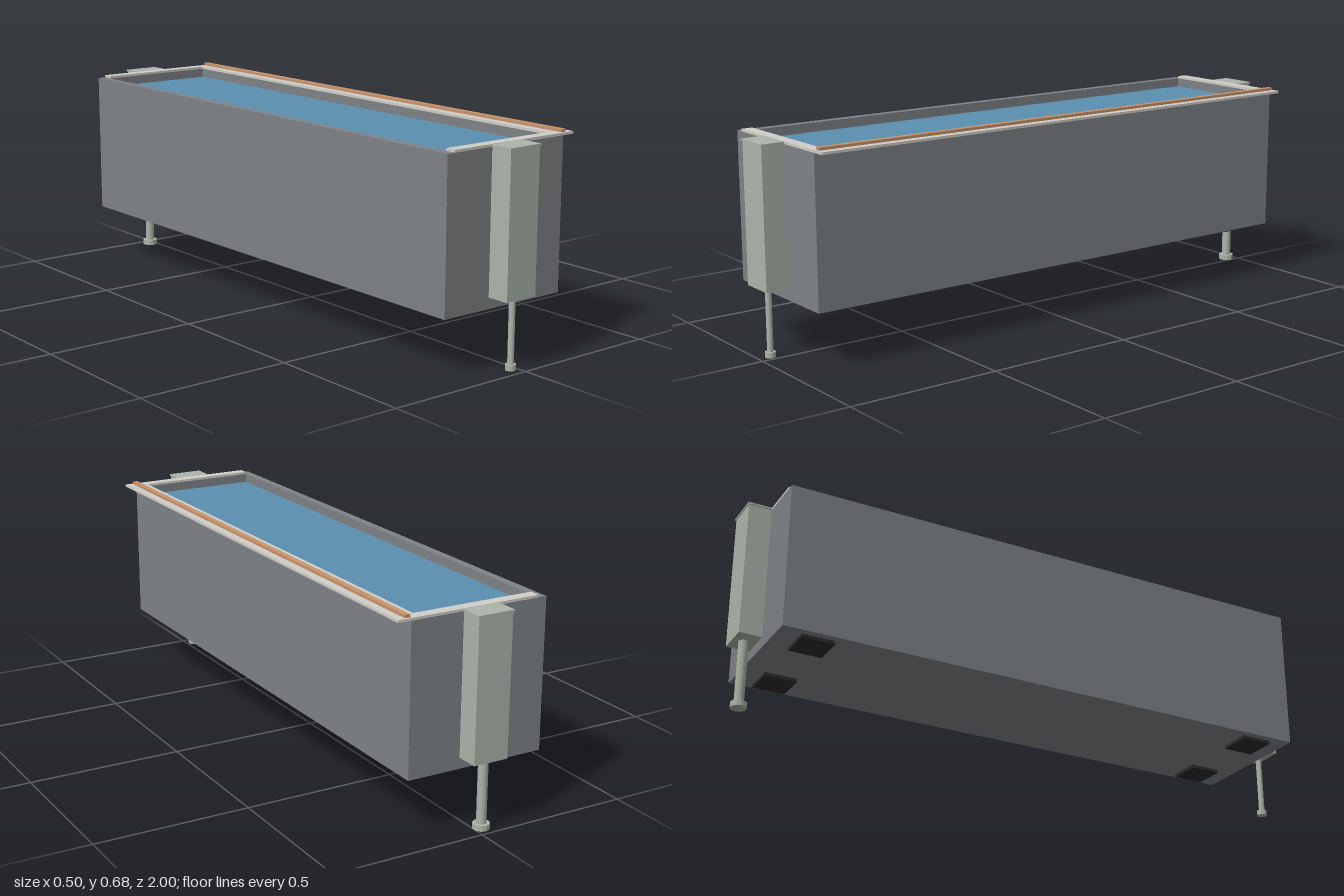
import * as THREE from 'three';

const paint = (color) => new THREE.MeshStandardMaterial({ color });
const mats = {
  tank: paint(0x7f8386),
  water: paint(0x5b90b0),
  rim: paint(0xd0cfc9),
  strip: paint(0xcb966e),
  post: paint(0xacb5ab),
  pad: paint(0x2c2c2e),
};
const footMat = paint(0xacb5ab);
footMat.flatShading = true;

export function createModel() {
  const model = new THREE.Group();

  const add = (name, geometry, material, parent = model) => {
    const mesh = new THREE.Mesh(geometry, material);
    mesh.name = name;
    parent.add(mesh);
    return mesh;
  };
  // box given by its limits on each axis
  const box = (name, [x0, x1], [y0, y1], [z0, z1], material, parent) =>
    add(name, new THREE.BoxGeometry(x1 - x0, y1 - y0, z1 - z0), material, parent)
      .position.set((x0 + x1) / 2, (y0 + y1) / 2, (z0 + z1) / 2);

  const left = -0.253, right = 0.209, bottom = 0.185, top = 0.662, end = 0.923;
  const inLeft = -0.226, inRight = 0.18, inEnd = 0.887;

  // Tank walls: rectangular ring raised along y
  const rect = (Type, x0, x1, z) => {
    const path = new Type();
    path.moveTo(x0, -z).lineTo(x1, -z).lineTo(x1, z).lineTo(x0, z).closePath();
    return path;
  };
  const wallShape = rect(THREE.Shape, left, right, end);
  wallShape.holes.push(rect(THREE.Path, inLeft, inRight, inEnd));
  const walls = new THREE.ExtrudeGeometry(wallShape, { depth: top - bottom, bevelEnabled: false });
  walls.rotateX(-Math.PI / 2).translate(0, bottom, 0);
  add('tankWalls', walls, mats.tank);
  box('tankFloor', [inLeft, inRight], [bottom, bottom + 0.03], [-inEnd, inEnd], mats.tank);
  box('water', [inLeft, inRight], [bottom + 0.03, 0.632], [-inEnd, inEnd], mats.water);

  // Three-sided rim: open along the -x wall, overhanging the +x wall
  const rimShape = new THREE.Shape();
  rimShape.moveTo(-0.225, -end).lineTo(0.252, -end).lineTo(0.252, end).lineTo(-0.225, end)
    .lineTo(-0.225, inEnd).lineTo(inRight, inEnd).lineTo(inRight, -inEnd).lineTo(-0.225, -inEnd)
    .closePath();
  const rim = new THREE.ExtrudeGeometry(rimShape, { depth: 0.008, bevelEnabled: false });
  rim.rotateX(-Math.PI / 2).translate(0, top, 0);
  add('rim', rim, mats.rim);
  box('rimStrip', [0.208, 0.226], [0.67, 0.679], [-0.916, 0.916], mats.strip);

  // End posts, each with a cap, a rod and a foot; the back rod is thicker
  const ends = [
    { name: 'frontPost', side: 1, rodRadius: 0.0098, footRadius: 0.0165 },
    { name: 'backPost', side: -1, rodRadius: 0.0155, footRadius: 0.026 },
  ];
  for (const { name, side, rodRadius, footRadius } of ends) {
    const post = new THREE.Group();
    post.name = name;
    model.add(post);
    const zRange = (a, b) => (side > 0 ? [a, b] : [-b, -a]);
    box('postBlock', [-0.081, 0.034], [0.22, 0.663], zRange(end, 0.997), mats.post, post);
    box('postCap', [-0.085, 0.038], [0.663, 0.669], zRange(end, 1), mats.post, post);
    const rod = add('rod', new THREE.CylinderGeometry(rodRadius, rodRadius, 0.212, 16), mats.post, post);
    rod.position.set(-0.023, 0.124, side * 0.961);
    const foot = add('foot', new THREE.CylinderGeometry(footRadius, footRadius, 0.018, 12), footMat, post);
    foot.position.set(-0.023, 0.009, side * 0.961);
  }

  // Square pads under the corners of the tank
  for (const x of [-0.175, 0.13]) {
    for (const z of [-0.799, 0.799]) {
      box('pad', [x - 0.054, x + 0.054], [0.174, bottom], [z - 0.054, z + 0.054], mats.pad);
    }
  }

  return model;
}
